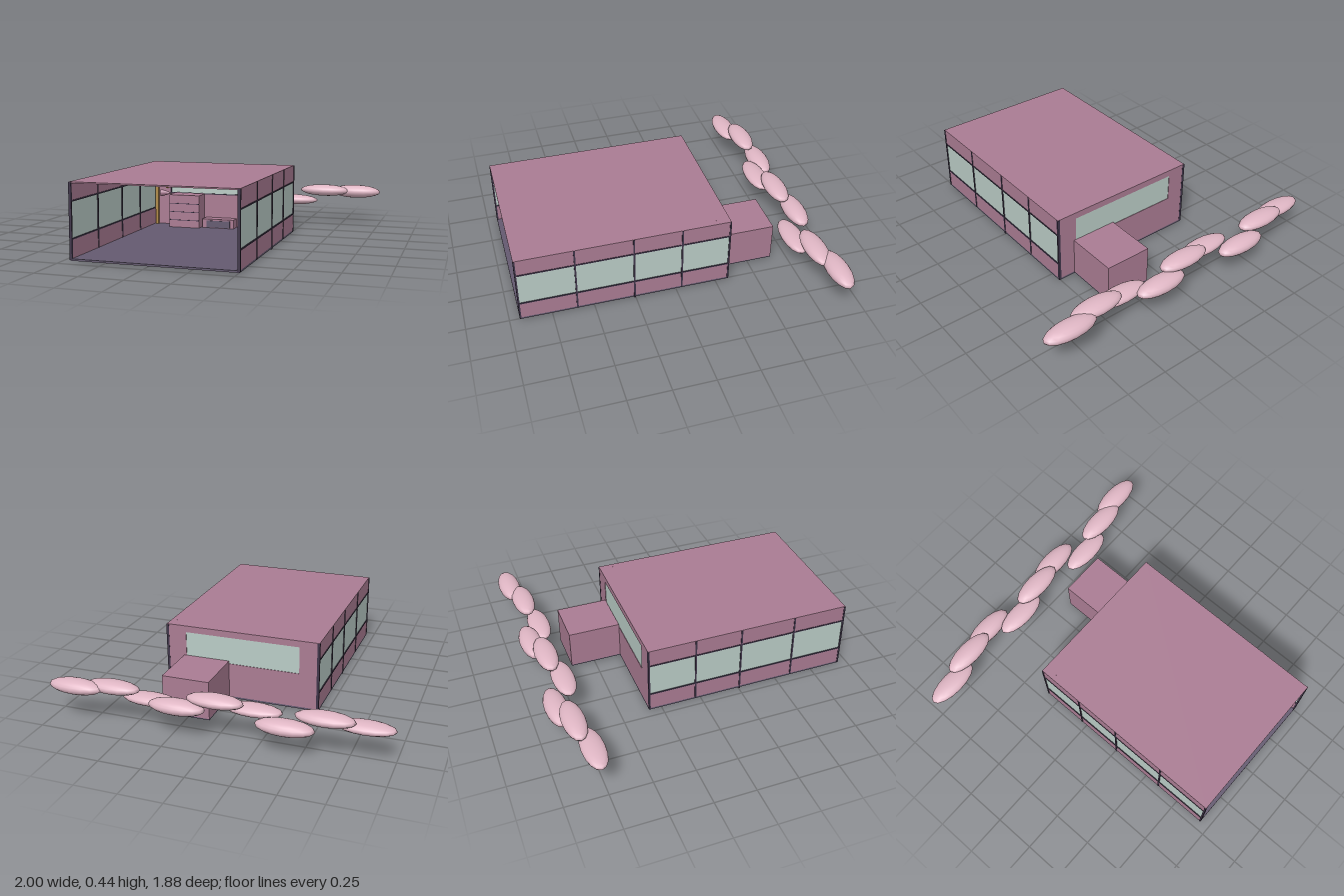
import * as THREE from 'three';

const mat = (name, color) => {
  const m = new THREE.MeshStandardMaterial({ color });
  m.name = name;
  return m;
};

export function createModel() {
  const root = new THREE.Group();
  root.name = 'loungeWithClouds';
  const wall = mat('mauve wall', 0xaa7c93);
  const glass = mat('pale glass', 0xbaccc6);
  const frame = mat('dark frame', 0x40364a);
  const floor = mat('slate floor', 0x645a70);
  const gold = mat('brass', 0xb08a48);
  const cloud = mat('pink cloud', 0xdfb6c4);

  const add = (name, geometry, material, parent = root) => {
    const m = new THREE.Mesh(geometry, material);
    m.name = name;
    parent.add(m);
    return m;
  };
  // Box given by its extents on each axis
  const box = (name, material, [x0, x1], [y0, y1], [z0, z1], parent = root) => {
    const m = add(name, new THREE.BoxGeometry(x1 - x0, y1 - y0, z1 - z0), material, parent);
    m.position.set((x0 + x1) / 2, (y0 + y1) / 2, (z0 + z1) / 2);
    return m;
  };

  const L = -0.45, R = 0.51, B = -0.33, F = 0.94, T = 0.44, Y = 0.017;

  // Floor, roof and the beam under the floor
  box('floor', floor, [L, R], [0.006, Y], [B, F]);
  box('roof', wall, [L, R], [T - 0.008, T], [B, F]);
  box('floorBeam', frame, [L - 0.003, R + 0.003], [0, 0.008], [0.251, 0.259]);

  // Side walls: solid bands, glazing, rails and posts
  for (const [side, x] of [['right', L], ['left', R - 0.01]]) {
    const g = new THREE.Group();
    g.name = side + 'Wall';
    root.add(g);
    const span = [x, x + 0.01], outer = [x - 0.003, x + 0.013];
    box('lowerPanel', wall, span, [Y, 0.125], [B, F], g);
    box('upperPanel', wall, span, [0.335, T - 0.008], [B, F], g);
    box('glazing', glass, [x + 0.002, x + 0.008], [0.125, 0.335], [B, F], g);
    for (const y of [0.125, 0.334])
      box('rail', frame, outer, [y - 0.004, y + 0.004], [B, F], g);
    for (const z of [F - 0.004, 0.6, 0.255, -0.035, B + 0.004])
      box('post', frame, outer, [0.01, T - 0.002], [z - 0.005, z + 0.005], g);
  }

  // Back wall with a wide window
  const rect = (C, x0, y0, x1, y1) => {
    const s = new C();
    s.moveTo(x0, y0); s.lineTo(x1, y0); s.lineTo(x1, y1); s.lineTo(x0, y1); s.closePath();
    return s;
  };
  const backShape = rect(THREE.Shape, L + 0.01, Y, R - 0.01, T - 0.008);
  backShape.holes.push(rect(THREE.Path, -0.33, 0.232, 0.385, 0.4));
  add('backWall', new THREE.ExtrudeGeometry(backShape, { depth: 0.012, bevelEnabled: false }), wall)
    .position.z = B;
  box('backGlass', glass, [-0.33, 0.385], [0.232, 0.4], [B + 0.003, B + 0.008]);
  const rim = rect(THREE.Shape, -0.334, 0.228, 0.389, 0.404);
  rim.holes.push(rect(THREE.Path, -0.328, 0.234, 0.383, 0.398));
  add('windowFrame', new THREE.ExtrudeGeometry(rim, { depth: 0.008, bevelEnabled: false }), frame)
    .position.z = B + 0.006;

  // Rear annex
  box('annex', wall, [0.11, 0.4], [Y, 0.25], [-0.65, B]);
  box('annexFloor', floor, [0.11, 0.4], [0.01, Y], [-0.65, B]);

  // Brass corner poles and wall lamps
  for (const x of [-0.423, 0.475])
    box('cornerPole', gold, [x - 0.01, x + 0.01], [Y, T - 0.008], [-0.31, -0.29]);
  for (const x of [-0.355, 0.405])
    box('wallLamp', gold, [x - 0.005, x + 0.005], [0.262, 0.32], [B + 0.012, B + 0.032]);

  // Draped swag across the window
  const drop = [];
  for (let i = 0; i <= 12; i++) {
    const t = i / 6 - 1;
    drop.push(new THREE.Vector3(0.03 + 0.45 * t, 0.305 + 0.13 * t * t, -0.25));
  }
  add('swag', new THREE.TubeGeometry(new THREE.CatmullRomCurve3(drop), 32, 0.008, 6), wall);

  // Drawer chest with dark joints
  box('drawerChest', wall, [-0.3, -0.092], [Y, 0.232], [-0.318, -0.2]);
  for (const y of [0.065, 0.12, 0.175])
    box('drawerJoint', frame, [-0.298, -0.094], [y - 0.002, y + 0.002], [-0.2, -0.198]);
  const horn = add('ornament', new THREE.ConeGeometry(0.025, 0.08, 12), wall);
  horn.rotation.z = -Math.PI / 2;
  horn.position.set(-0.335, 0.236, -0.25);

  // Low hearth and side cabinet
  box('hearth', wall, [-0.08, 0.132], [Y, 0.075], [-0.318, -0.24]);
  box('hearthOpening', floor, [-0.052, 0.108], [0.02, 0.065], [-0.24, -0.235]);
  box('cabinet', wall, [0.195, 0.31], [Y, 0.198], [-0.318, -0.22]);
  box('cabinetSide', frame, [0.31, 0.32], [Y, 0.198], [-0.318, -0.22]);
  box('cabinetJoint', frame, [0.197, 0.31], [0.073, 0.077], [-0.22, -0.218]);

  // Round wall disc with curved brass bars
  const disc = add('wallDisc', new THREE.CylinderGeometry(0.055, 0.055, 0.01, 24), wall);
  disc.rotation.x = Math.PI / 2;
  disc.position.set(0.4, 0.155, -0.313);
  for (const y of [0.093, 0.108]) {
    const bar = add('discBar', new THREE.TorusGeometry(0.065, 0.004, 6, 12, 1.4), gold);
    bar.rotation.z = Math.PI / 2 - 0.7;
    bar.position.set(0.4, y, -0.306);
  }

  // Row of flattened clouds behind the building
  const heights = [0.197, 0.235, 0.172, 0.195, 0.236, 0.19, 0.158, 0.224, 0.218];
  const ball = new THREE.SphereGeometry(1, 16, 10);
  heights.forEach((y, i) => {
    const c = add('cloud', ball, cloud);
    c.position.set(-0.832 + 0.208 * i, y, -0.777 - 0.049 * (i % 3));
    c.scale.set(0.168, 0.034 + 0.005 * (i % 3), 0.068);
  });
  return root;
}
